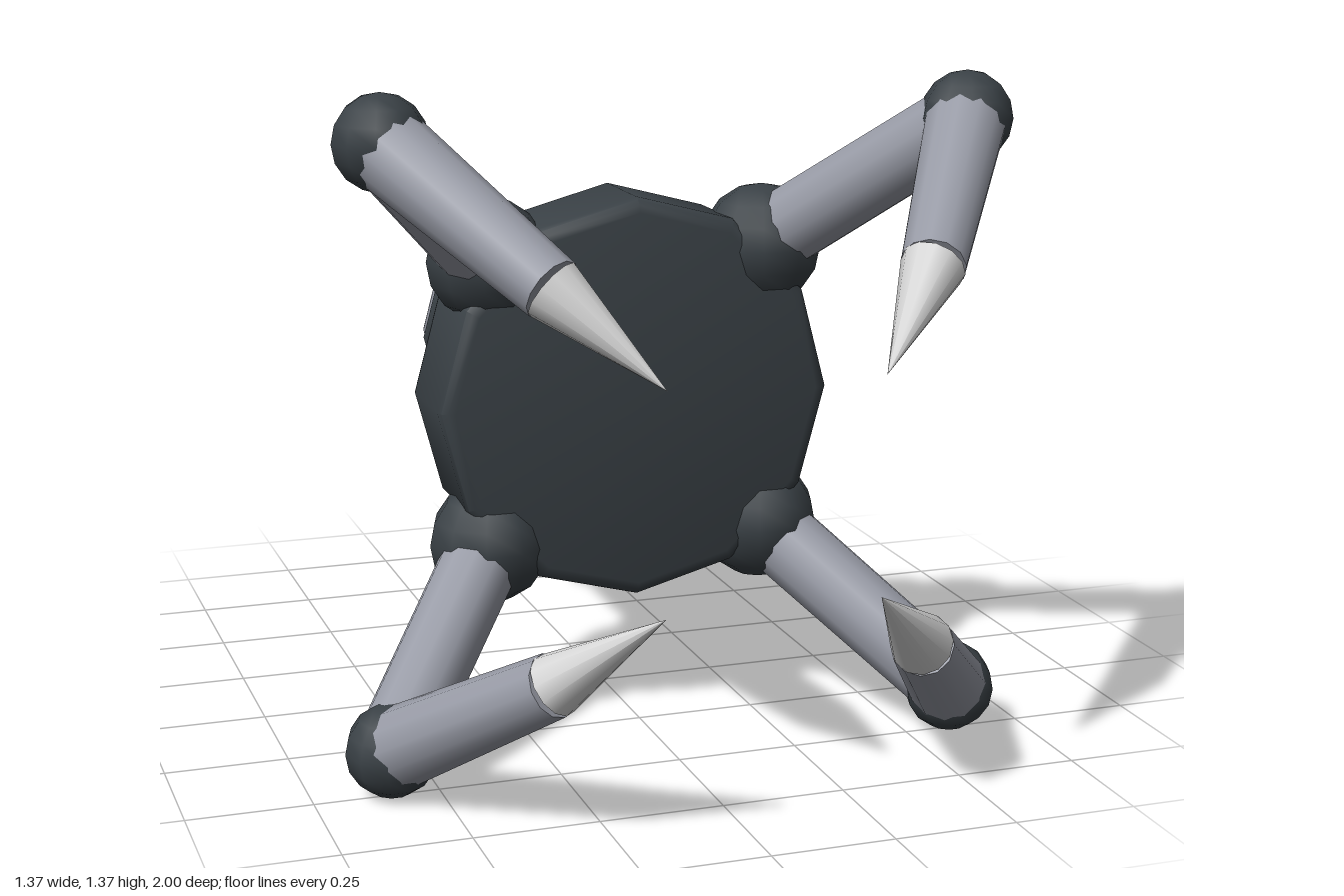
import * as THREE from 'three';
import { toCreasedNormals } from 'three/addons/utils/BufferGeometryUtils.js';

const CENTRE_Y = 0.687;

function material(name, color) {
  const m = new THREE.MeshStandardMaterial({ color });
  m.name = name;
  return m;
}

function mesh(name, geometry, mat) {
  const m = new THREE.Mesh(geometry, mat);
  m.name = name;
  return m;
}

// Twelve-sided drum along z with rounded rims
function drum(radius, zBack, zFront, bevel, steps) {
  const pts = [new THREE.Vector2(0, zBack)];
  for (const end of [0, 1]) {
    for (let i = 0; i <= steps; i++) {
      const a = (i / steps) * Math.PI / 2;
      const r = radius - bevel + bevel * (end ? Math.cos(a) : Math.sin(a));
      const z = end ? zFront - bevel + bevel * Math.sin(a) : zBack + bevel - bevel * Math.cos(a);
      pts.push(new THREE.Vector2(r, z));
    }
  }
  pts.push(new THREE.Vector2(0, zFront));
  const g = new THREE.LatheGeometry(pts, 12).rotateX(Math.PI / 2);
  return toCreasedNormals(g, 0.65);
}

// Tapered rod from point a to point b
function rod(name, a, b, ra, rb, mat) {
  const dir = b.clone().sub(a);
  const m = mesh(name, new THREE.CylinderGeometry(rb, ra, dir.length(), 12), mat);
  m.position.copy(a).add(b).multiplyScalar(0.5);
  m.quaternion.setFromUnitVectors(new THREE.Vector3(0, 1, 0), dir.normalize());
  return m;
}

function ball(name, p, r, mat) {
  const m = mesh(name, new THREE.SphereGeometry(r, 10, 8), mat);
  m.position.copy(p);
  return m;
}

export function createModel() {
  const dark = material('dark metal', 0x3a4146);
  const steel = material('grey steel', 0x989ba6);
  const bright = material('bright claw', 0xd4d4d4);

  const model = new THREE.Group();
  model.name = 'grapplingClaw';
  const core = new THREE.Group();
  core.name = 'core';
  core.position.y = CENTRE_Y;
  model.add(core);

  // Hub, body and the two bands around it
  core.add(mesh('hub', drum(0.42, 0, 0.245, 0.03, 3), dark));
  core.add(mesh('body', drum(0.25, -0.6, 0.02, 0.03, 3), steel));
  for (const z of [-0.09, -0.47]) {
    core.add(mesh('band', drum(0.27, z - 0.025, z + 0.025, 0.006, 1), dark));
  }

  // Rope eye at the back
  const eye = mesh('ropeEye', new THREE.TorusGeometry(0.204, 0.065, 6, 14), steel);
  eye.rotation.y = Math.PI / 2;
  eye.position.z = -0.731;
  core.add(eye);

  // Four jointed fingers on the diagonals
  for (const sx of [1, -1]) {
    for (const sy of [1, -1]) {
      const at = (d, z) => new THREE.Vector3(sx * d, sy * d, z);
      const shoulder = at(0.297, 0.155);
      const knee = at(0.593, 0.5);
      const wrist = at(0.368, 0.84);
      const tip = at(0.208, 1);
      const finger = new THREE.Group();
      finger.name = 'finger';
      finger.add(
        ball('shoulderJoint', shoulder, 0.127, dark),
        rod('upperArm', shoulder, knee, 0.082, 0.077, steel),
        ball('kneeJoint', knee, 0.093, dark),
        rod('lowerArm', knee, wrist, 0.082, 0.062, steel),
        rod('clawTip', wrist, tip, 0.062, 0, bright)
      );
      core.add(finger);
    }
  }
  return model;
}
